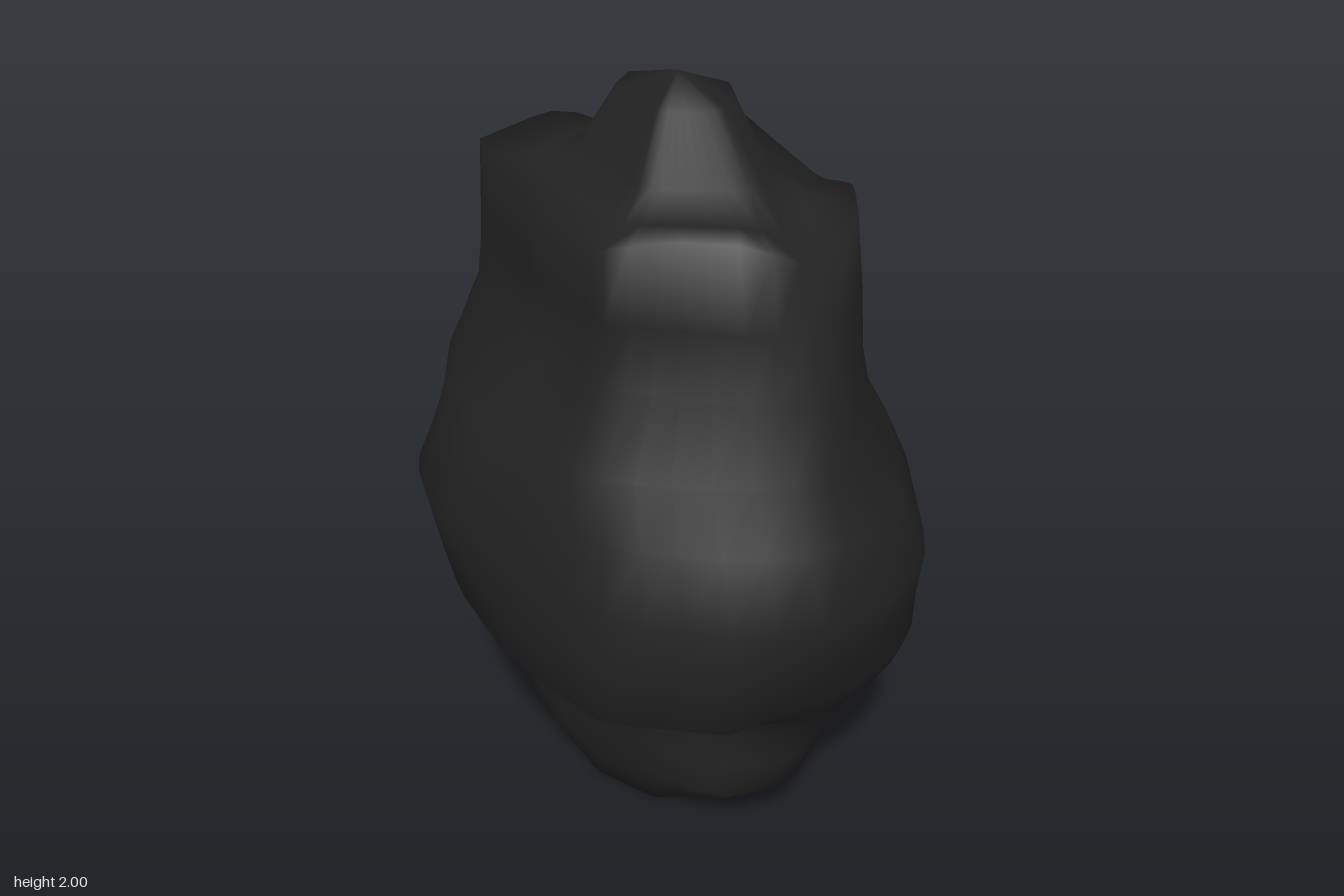
import * as THREE from 'three';

// Plan outlines of the lump as [x, z] corners, in order of rising angle
const FOOT = [[0.27, -0.1], [0.26, 0.12], [0.16, 0.3], [0, 0.35], [-0.17, 0.28], [-0.27, 0.1],
  [-0.27, -0.12], [-0.17, -0.3], [0, -0.36], [0.17, -0.3]];
const BASE = [[0.37, 0], [0.34, 0.37], [0.1, 0.55], [-0.1, 0.52], [-0.23, 0.31], [-0.37, 0.04],
  [-0.37, -0.1], [-0.21, -0.31], [-0.08, -0.55], [0.1, -0.58], [0.36, -0.4]];
const UNDERCUT = [[0.56, -0.1], [0.55, 0.15], [0.48, 0.46], [0.3, 0.6], [0.05, 0.66], [-0.1, 0.52],
  [-0.3, 0.36], [-0.44, 0.12], [-0.46, -0.12], [-0.36, -0.33], [-0.12, -0.58], [0.05, -0.69],
  [0.3, -0.62], [0.5, -0.47]];
const LEDGE = [[0.61, -0.2], [0.61, 0.22], [0.42, 0.6], [0.23, 0.7], [0, 0.74], [-0.2, 0.74],
  [-0.46, 0.56], [-0.56, 0.2], [-0.57, -0.1], [-0.53, -0.4], [-0.38, -0.6], [-0.1, -0.7],
  [0.1, -0.77], [0.24, -0.76], [0.4, -0.62], [0.5, -0.47]];
const BELLY = [[0.63, -0.31], [0.62, 0.22], [0.4, 0.65], [0.23, 0.78], [0.03, 0.83], [-0.17, 0.78],
  [-0.42, 0.59], [-0.54, 0.34], [-0.64, -0.04], [-0.6, -0.3], [-0.4, -0.63], [-0.14, -0.74],
  [0.03, -0.83], [0.22, -0.83], [0.38, -0.68], [0.48, -0.5]];
const NECK = [[0.49, -0.04], [0.45, 0.15], [0.33, 0.41], [0.19, 0.6], [0.08, 0.63], [-0.1, 0.56],
  [-0.34, 0.34], [-0.38, 0.05], [-0.37, -0.42], [-0.12, -0.58], [0.1, -0.68], [0.2, -0.67],
  [0.36, -0.55], [0.43, -0.3]];
const SHOULDER = [[0.47, -0.04], [0.42, 0.15], [0.3, 0.4], [0.17, 0.53], [0, 0.53], [-0.32, 0.32],
  [-0.37, 0.05], [-0.35, -0.42], [-0.1, -0.56], [0.17, -0.56], [0.33, -0.45], [0.41, -0.28]];
const PEAK = [[0.29, -0.03], [0.22, 0.15], [0.1, 0.29], [-0.02, 0.24], [-0.16, 0.17],
  [-0.16, -0.19], [0, -0.29], [0.18, -0.24]];

// Layers: height, lower outline, upper outline, blend, then x and z extents
const LAYERS = [
  [0.025, FOOT, BASE, 0, -0.27, 0.27, -0.37, 0.34],
  [0.11, FOOT, BASE, 0.5, -0.32, 0.32, -0.48, 0.45],
  [0.2, FOOT, BASE, 1, -0.37, 0.37, -0.58, 0.55],
  [0.3, BASE, UNDERCUT, 0.4, -0.39, 0.42, -0.61, 0.57],
  [0.4, BASE, UNDERCUT, 0.8, -0.4, 0.51, -0.63, 0.59],
  [0.5, BASE, UNDERCUT, 1, -0.46, 0.56, -0.69, 0.66],
  [0.56, UNDERCUT, LEDGE, 0.65, -0.52, 0.59, -0.73, 0.7],
  [0.62, UNDERCUT, LEDGE, 1, -0.57, 0.615, -0.77, 0.74],
  [0.77, LEDGE, BELLY, 0.5, -0.605, 0.62, -0.8, 0.79],
  [0.93, LEDGE, BELLY, 1, -0.64, 0.63, -0.83, 0.83],
  [1.08, BELLY, NECK, 0.25, -0.58, 0.57, -0.76, 0.75],
  [1.22, BELLY, NECK, 0.55, -0.53, 0.5, -0.7, 0.68],
  [1.4, BELLY, NECK, 1, -0.38, 0.49, -0.68, 0.63],
  [1.56, NECK, SHOULDER, 0.7, -0.37, 0.48, -0.6, 0.58],
  [1.76, NECK, SHOULDER, 1, -0.365, 0.465, -0.55, 0.535],
  [1.75, SHOULDER, PEAK, 0.5, -0.25, 0.36, -0.4, 0.4],
  [1.8, SHOULDER, PEAK, 1, -0.15, 0.27, -0.3, 0.29],
  [1.95, SHOULDER, PEAK, 1, -0.07, 0.18, -0.21, 0.16],
];

// Changes to the shoulder rim: x, z, reach, rise
const RIM = [
  [0.47, -0.04, 0.34, -0.11],
  [0.18, 0.53, 0.22, -0.1],
  [0.17, -0.56, 0.2, -0.1],
  [-0.32, 0.32, 0.15, -0.03],
  [0.27, -0.32, 0.15, 0.05],
];
const SIDES = 48;

// Distance from the axis to an outline along direction (c, s)
function reach(outline, c, s) {
  for (let i = 0; i < outline.length; i++) {
    const [ax, az] = outline[i], [bx, bz] = outline[(i + 1) % outline.length];
    const ex = bx - ax, ez = bz - az, d = c * ez - s * ex;
    if (Math.abs(d) < 1e-9) continue;
    const r = (ax * ez - az * ex) / d, t = (ax * s - az * c) / d;
    if (r > 0 && t >= -1e-6 && t <= 1 + 1e-6) return r;
  }
  return 0.1;
}

// One ring of points, fitted to its layer's extents
function ring([y, low, high, blend, x0, x1, z0, z1]) {
  const pts = [];
  for (let i = 0; i < SIDES; i++) {
    const a = i / SIDES * Math.PI * 2, c = Math.cos(a), s = Math.sin(a);
    const r = THREE.MathUtils.lerp(reach(low, c, s), reach(high, c, s), blend);
    pts.push(new THREE.Vector3(c * r, y, s * r));
  }
  const box = new THREE.Box3().setFromPoints(pts);
  for (const p of pts) {
    p.x *= p.x < 0 ? x0 / box.min.x : x1 / box.max.x;
    p.z *= p.z < 0 ? z0 / box.min.z : z1 / box.max.z;
    if (y < 1.7 || y > 1.9) continue;
    for (const [x, z, size, rise] of RIM) {
      p.y += rise * Math.max(0, 1 - Math.hypot(p.x - x, p.z - z) / size);
    }
  }
  return pts;
}

export function createModel() {
  const points = LAYERS.flatMap(ring);
  const index = [];
  for (let j = 0; j < LAYERS.length - 1; j++) {
    for (let i = 0; i < SIDES; i++) {
      const n = (i + 1) % SIDES;
      const a = j * SIDES + i, b = j * SIDES + n, c = a + SIDES, d = b + SIDES;
      index.push(a, c, b, b, c, d);
    }
  }
  // Close the underside and the summit
  const base = points.push(new THREE.Vector3(0, 0, 0)) - 1;
  const summit = points.push(new THREE.Vector3(0.04, 2, -0.02)) - 1;
  const last = (LAYERS.length - 1) * SIDES;
  for (let i = 0; i < SIDES; i++) {
    const n = (i + 1) % SIDES;
    index.push(base, i, n, summit, last + n, last + i);
  }
  const geometry = new THREE.BufferGeometry().setFromPoints(points);
  geometry.setIndex(index);
  geometry.computeVertexNormals();

  const coal = new THREE.MeshStandardMaterial({ color: 0x222222 });
  coal.name = 'coal black';
  const lump = new THREE.Mesh(geometry, coal);
  lump.name = 'rockLump';
  const group = new THREE.Group();
  group.name = 'rock';
  group.add(lump);
  return group;
}
